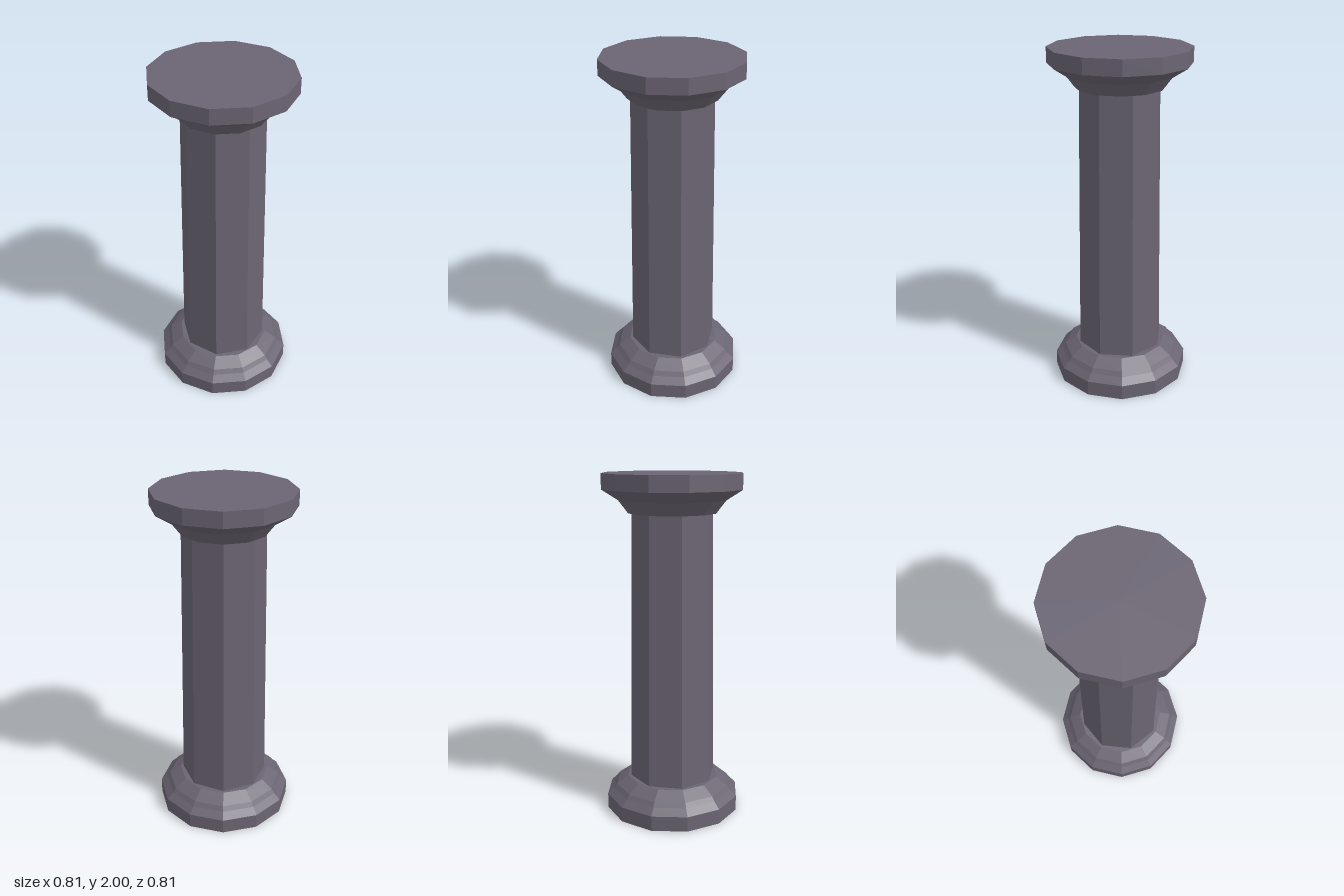
import * as THREE from 'three';

export function createModel() {
  const group = new THREE.Group();
  group.name = 'column';
  const stone = new THREE.MeshStandardMaterial({ color: 0x6b6573, flatShading: true });
  stone.name = 'greyStone';

  // Turned solid; profile is [radius, height] from bottom to top
  const turned = (name, profile, sides) => {
    const points = profile.map(([r, y]) => new THREE.Vector2(r, y));
    const mesh = new THREE.Mesh(new THREE.LatheGeometry(points, sides), stone);
    mesh.name = name;
    group.add(mesh);
  };

  // Twelve-sided foot with a stepped moulding
  turned('base', [
    [0, 0], [0.403, 0], [0.403, 0.09], [0.365, 0.127], [0.345, 0.153], [0.275, 0.2], [0, 0.2],
  ], 12);

  // Tapered eight-sided shaft
  turned('shaft', [[0.258, 0.19], [0.235, 1.79]], 8);

  // Twelve-sided head flaring out to a flat slab
  turned('capital', [
    [0, 1.78], [0.254, 1.78], [0.275, 1.808], [0.31, 1.853], [0.403, 1.912], [0.403, 2], [0, 2],
  ], 12);

  return group;
}
